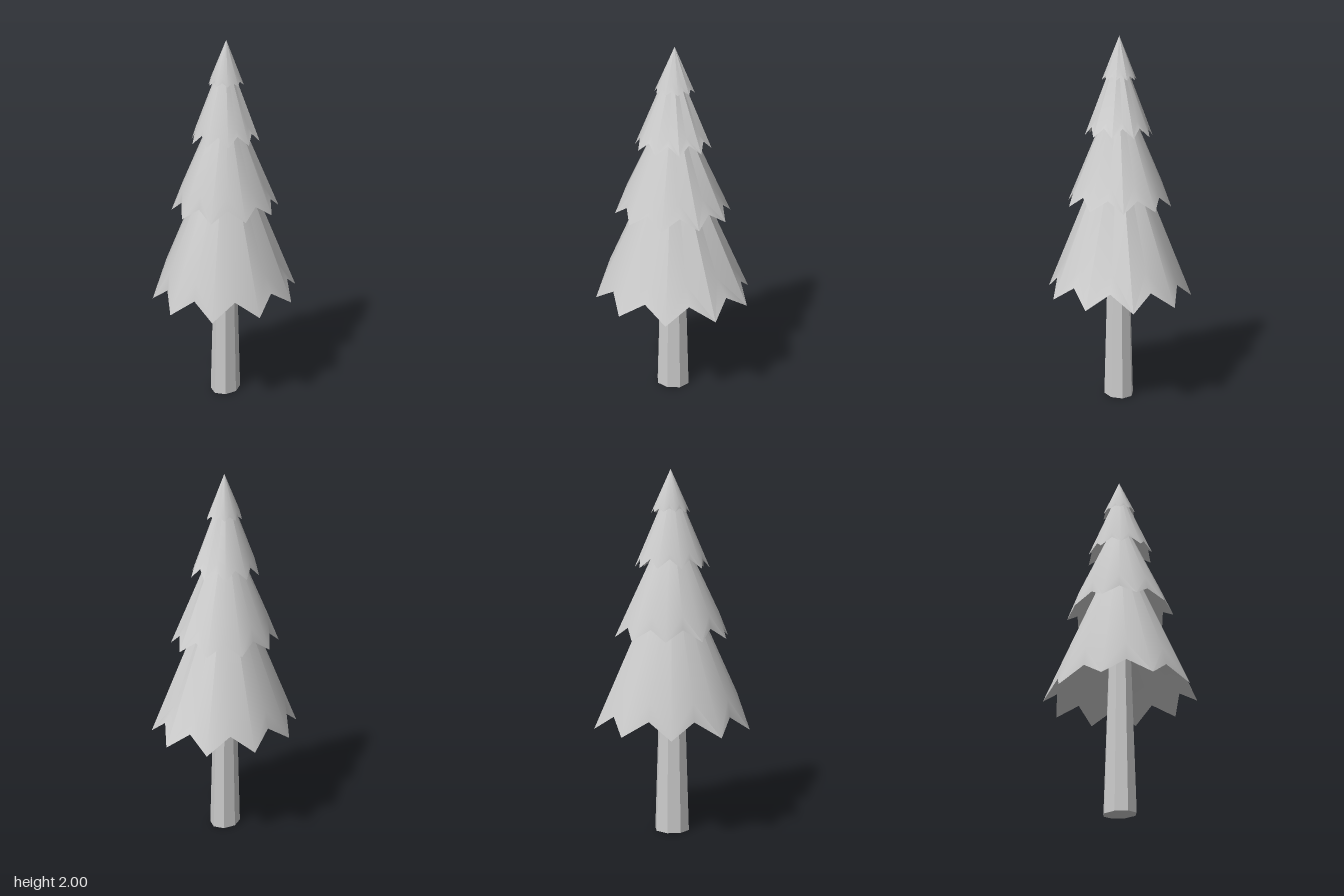
import * as THREE from 'three';
import { toCreasedNormals } from 'three/addons/utils/BufferGeometryUtils.js';

const POINTS = 10;
const RAD = Math.PI / 180;
const material = new THREE.MeshStandardMaterial({ color: 0xcccccc, side: THREE.DoubleSide });

// One hollow cone of foliage with a star-shaped, thick zigzag rim.
// y: tip height, upper/lower: heights of the notch edges, phase: angle of first tip
function foliageTier({ y, apex, rx, rz, upper, lower, phase, zOff = 0 }) {
  const verts = [];
  const index = [];
  const add = (frac, angle, h) => {
    verts.push(rx * frac * Math.cos(angle), h, rz * frac * Math.sin(angle) + zOff);
    return verts.length / 3 - 1;
  };

  const top = add(0, 0, apex);
  const hollow = add(0, 0, y + (apex - y) * 0.48);
  const tips = [], notches = [], lips = [];
  for (let i = 0; i < POINTS; i++) {
    const a = (phase + (i * 360) / POINTS) * RAD;
    const mid = a + Math.PI / POINTS;
    tips.push(add(1, a, y));
    // notches cut deeper on one side of the tree
    notches.push(add(0.77 - 0.06 * Math.cos(mid + 40 * RAD), mid, upper));
    lips.push(add(0.86, mid, lower));
  }

  for (let i = 0; i < POINTS; i++) {
    const tip = tips[i], next = tips[(i + 1) % POINTS];
    const notch = notches[i], lip = lips[i];
    index.push(top, notch, tip, top, next, notch);       // outer skin
    index.push(tip, notch, lip, notch, next, lip);       // thick cut edge
    index.push(hollow, tip, lip, hollow, lip, next);     // hollow underside
  }

  const geo = new THREE.BufferGeometry();
  geo.setAttribute('position', new THREE.Float32BufferAttribute(verts, 3));
  geo.setIndex(index);
  return toCreasedNormals(geo, 50 * RAD);
}

export function createModel() {
  const tree = new THREE.Group();
  tree.name = 'pineTree';

  // Tapered eight-sided trunk, slightly deeper than wide
  const trunkGeo = new THREE.CylinderGeometry(0.65, 1, 1.05, 8, 1, false, 33 * RAD);
  trunkGeo.scale(0.082, 1, 0.099);
  trunkGeo.translate(0, 0.525, 0);
  const trunk = new THREE.Mesh(toCreasedNormals(trunkGeo, 0.3), material);
  trunk.name = 'trunk';
  tree.add(trunk);

  // Foliage from the bottom up
  const tiers = [
    { name: 'bottomFoliage', y: 0.605, apex: 1.58, rx: 0.395, rz: 0.445, upper: 0.79, lower: 0.69, phase: -3.5 },
    { name: 'lowerFoliage', y: 1.1, apex: 1.77, rx: 0.285, rz: 0.318, upper: 1.235, lower: 1.16, phase: 2 },
    { name: 'upperFoliage', y: 1.475, apex: 1.95, rx: 0.181, rz: 0.205, upper: 1.56, lower: 1.525, phase: 18 },
    { name: 'topFoliage', y: 1.77, apex: 2, rx: 0.092, rz: 0.105, upper: 1.815, lower: 1.79, phase: 18, zOff: -0.008 },
  ];
  for (const t of tiers) {
    const mesh = new THREE.Mesh(foliageTier(t), material);
    mesh.name = t.name;
    tree.add(mesh);
  }

  return tree;
}
